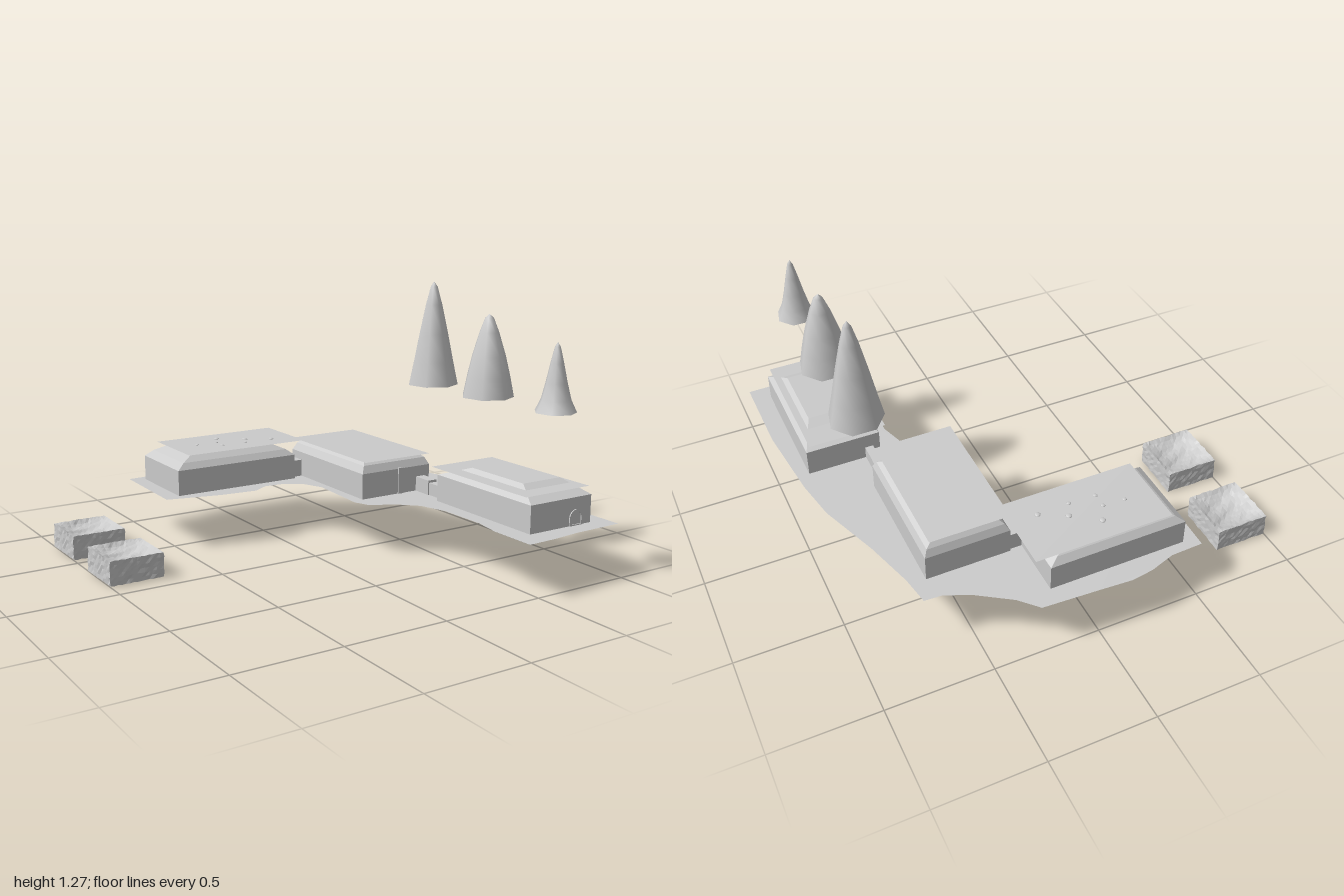
import * as THREE from 'three';

const smooth = new THREE.MeshStandardMaterial({ color: 0xcccccc, side: THREE.DoubleSide });
const flat = new THREE.MeshStandardMaterial({ color: 0xcccccc, side: THREE.DoubleSide, flatShading: true });

export function createModel() {
  const model = new THREE.Group();

  const add = (name, geometry, x = 0, y = 0, z = 0, material = flat) => {
    const mesh = new THREE.Mesh(geometry, material);
    mesh.name = name;
    mesh.position.set(x, y, z);
    model.add(mesh);
    return mesh;
  };

  // Box given by its limits
  const block = (name, x0, x1, y0, y1, z0, z1) => add(name,
    new THREE.BoxGeometry(x1 - x0, y1 - y0, z1 - z0), (x0 + x1) / 2, (y0 + y1) / 2, (z0 + z1) / 2);

  // Flat horizontal outline from [x, z] points
  const sheet = (name, points, y) => {
    const shape = new THREE.Shape(points.map(([x, z]) => new THREE.Vector2(x, -z)));
    return add(name, new THREE.ShapeGeometry(shape).rotateX(-Math.PI / 2), 0, y, 0);
  };
  const rectSheet = (name, x0, x1, z0, z1, y) =>
    sheet(name, [[x0, z1], [x1, z1], [x1, z0], [x0, z0]], y);

  // Solid of stacked rectangles [x0, x1, z0, z1, y], capped on top
  const stacked = (name, rings) => {
    const corners = rings.map(([x0, x1, z0, z1, y]) =>
      [[x0, y, z1], [x1, y, z1], [x1, y, z0], [x0, y, z0]]);
    const pos = [];
    const quad = (a, b, c, d) => pos.push(...a, ...b, ...c, ...a, ...c, ...d);
    for (let i = 0; i + 1 < rings.length; i++) {
      for (let k = 0; k < 4; k++) {
        const n = (k + 1) % 4;
        quad(corners[i][k], corners[i][n], corners[i + 1][n], corners[i + 1][k]);
      }
    }
    quad(...corners[rings.length - 1]);
    const geometry = new THREE.BufferGeometry();
    geometry.setAttribute('position', new THREE.Float32BufferAttribute(pos, 3));
    geometry.computeVertexNormals();
    return add(name, geometry);
  };

  // Ground plate with a wandering edge
  sheet('groundPlate', [
    [-0.54, -0.94], [-0.385, -0.945], [-0.26, -0.985], [-0.155, -1], [0, -0.99], [0.27, -0.975],
    [0.35, -0.89], [0.5, -0.79], [0.62, -0.735], [0.705, -0.73], [0.73, -0.59], [0.8, -0.35],
    [0.91, -0.05], [0.95, 0.16], [0.99, 0.56], [0.99, 0.975], [0.73, 0.98], [0.59, 0.995],
    [0.44, 1], [0.44, 0.775], [0.465, 0.64], [0.46, 0.4], [0.42, 0.27], [0.33, 0.18],
    [0.22, 0.13], [0.19, 0.05], [0.21, -0.27], [0.165, -0.375], [0.085, -0.43], [-0.02, -0.44],
    [-0.1, -0.39], [-0.29, -0.41], [-0.42, -0.44], [-0.55, -0.47],
  ].reverse(), 0.25);
  block('groundFooting', 0.45, 0.65, 0.232, 0.249, -0.63, -0.41);

  // Three halls with sloping eaves
  stacked('backHall', [
    [-0.47, 0.19, -0.895, -0.5, 0.25], [-0.47, 0.19, -0.895, -0.5, 0.375],
    [-0.43, 0.15, -0.87, -0.525, 0.405], [-0.36, 0.06, -0.82, -0.57, 0.436]]);
  stacked('middleHall', [
    [0.25, 0.65, -0.62, 0.03, 0.25], [0.25, 0.65, -0.62, 0.03, 0.375],
    [0.27, 0.635, -0.605, 0.01, 0.41], [0.3, 0.6, -0.58, -0.03, 0.437]]);
  stacked('frontHall', [
    [0.54, 0.9, 0.24, 0.89, 0.25], [0.54, 0.9, 0.24, 0.89, 0.38], [0.61, 0.83, 0.41, 0.76, 0.44]]);

  // Overhanging roof sheets, set off from the walls
  rectSheet('backRoof', -0.4, 0.26, -0.89, -0.52, 0.44);
  rectSheet('middleRoof', 0.24, 0.62, -0.6, 0.07, 0.441);
  rectSheet('frontRoof', 0.51, 0.885, 0.23, 0.89, 0.421);

  // Low passages joining the halls
  block('backPassage', 0.18, 0.26, 0.25, 0.335, -0.61, -0.53);
  block('frontPassageHigh', 0.57, 0.62, 0.25, 0.322, 0.02, 0.13);
  block('frontPassageLow', 0.575, 0.615, 0.25, 0.31, 0.13, 0.25);

  // Doors
  block('middleDoor', 0.46, 0.49, 0.25, 0.38, 0.02, 0.036);
  const arch = new THREE.Shape();
  arch.moveTo(0.77, 0.25).lineTo(0.85, 0.25).lineTo(0.85, 0.285);
  arch.absarc(0.81, 0.285, 0.04, 0, Math.PI, false);
  arch.lineTo(0.77, 0.25);
  const opening = new THREE.Path();
  opening.moveTo(0.78, 0.255).lineTo(0.78, 0.285);
  opening.absarc(0.81, 0.285, 0.03, Math.PI, 0, true);
  opening.lineTo(0.84, 0.255);
  arch.holes.push(opening);
  add('archedDoorFrame', new THREE.ExtrudeGeometry(arch,
    { depth: 0.006, bevelEnabled: false, curveSegments: 8 }), 0, 0, 0.889);

  // Pebbles on the back roof
  [[-0.11, -0.79], [-0.26, -0.715], [-0.155, -0.71], [0.01, -0.705],
    [-0.155, -0.64], [-0.025, -0.635], [0.13, -0.64]].forEach(([x, z], i) =>
    add('roofPebble', new THREE.SphereGeometry(i % 3 ? 0.011 : 0.015, 8, 6).scale(1, 0.4, 1), x, 0.44, z, smooth));

  // Ragged patch on the front roof
  sheet('raggedPatch', [
    [0.63, 0.72], [0.66, 0.7], [0.7, 0.74], [0.8, 0.73], [0.74, 0.68], [0.69, 0.65], [0.7, 0.61],
    [0.75, 0.63], [0.81, 0.58], [0.78, 0.57], [0.73, 0.6], [0.71, 0.55], [0.66, 0.5], [0.64, 0.55], [0.67, 0.6]], 0.445);

  // Floating seven-sided treetops; profile gives [radius share, height share]
  const straight = [[1, 0], [0.8, 0.23], [0.58, 0.5], [0.33, 0.78], [0.14, 0.95], [0, 1]];
  const full = [[1, 0], [0.84, 0.25], [0.65, 0.5], [0.38, 0.78], [0.17, 0.95], [0, 1]];
  const flared = [[1, 0], [0.72, 0.18], [0.52, 0.42], [0.32, 0.7], [0.14, 0.93], [0, 1]];
  [['tallTree', -0.06, 0.127, 0.51, straight], ['middleTree', 0.36, 0.125, 0.39, full],
    ['smallTree', 0.815, 0.095, 0.31, flared]].forEach(([name, z, r, h, profile]) => {
    const points = profile.map(([a, b]) => new THREE.Vector2(a * r, b * h));
    add(name, new THREE.LatheGeometry(points, 7), 0.73, 0.76, z, smooth);
    add(name + 'Base', new THREE.CircleGeometry(r, 7).rotateX(Math.PI / 2).rotateY(Math.PI / 2 + Math.PI), 0.73, 0.76, z);
  });

  // Rough stone blocks with a hollowed top
  const noise = (x, y, z) => {
    const s = Math.sin(x * 127.1 + y * 311.7 + z * 74.7) * 43758.5453;
    return s - Math.floor(s) - 0.5;
  };
  for (const zc of [-0.68, -0.24]) {
    const geometry = new THREE.BoxGeometry(0.26, 0.115, 0.26, 14, 6, 14);
    const p = geometry.attributes.position;
    for (let i = 0; i < p.count; i++) {
      const x = p.getX(i), y = p.getY(i), z = p.getZ(i);
      const key = [x, y, z].map((v) => Math.round(v * 1000) + 7);
      const u = x / 0.13, w = z / 0.13;
      let dy = 0;
      if (y > 0.057) {
        dy = -0.035 * (1 - u * u) * (1 - w ** 4) + 0.005 * Math.sin(9 * w + 4 * u) * (1 - u * u) * (1 - w * w);
      }
      p.setXYZ(i, x + 0.005 * noise(...key), y + dy + 0.003 * noise(key[1], key[2], key[0]),
        z + 0.005 * noise(key[2], key[0], key[1]));
    }
    geometry.computeVertexNormals();
    add('stoneBlock', geometry, -0.868, 0.06, zc);
  }

  return model;
}
